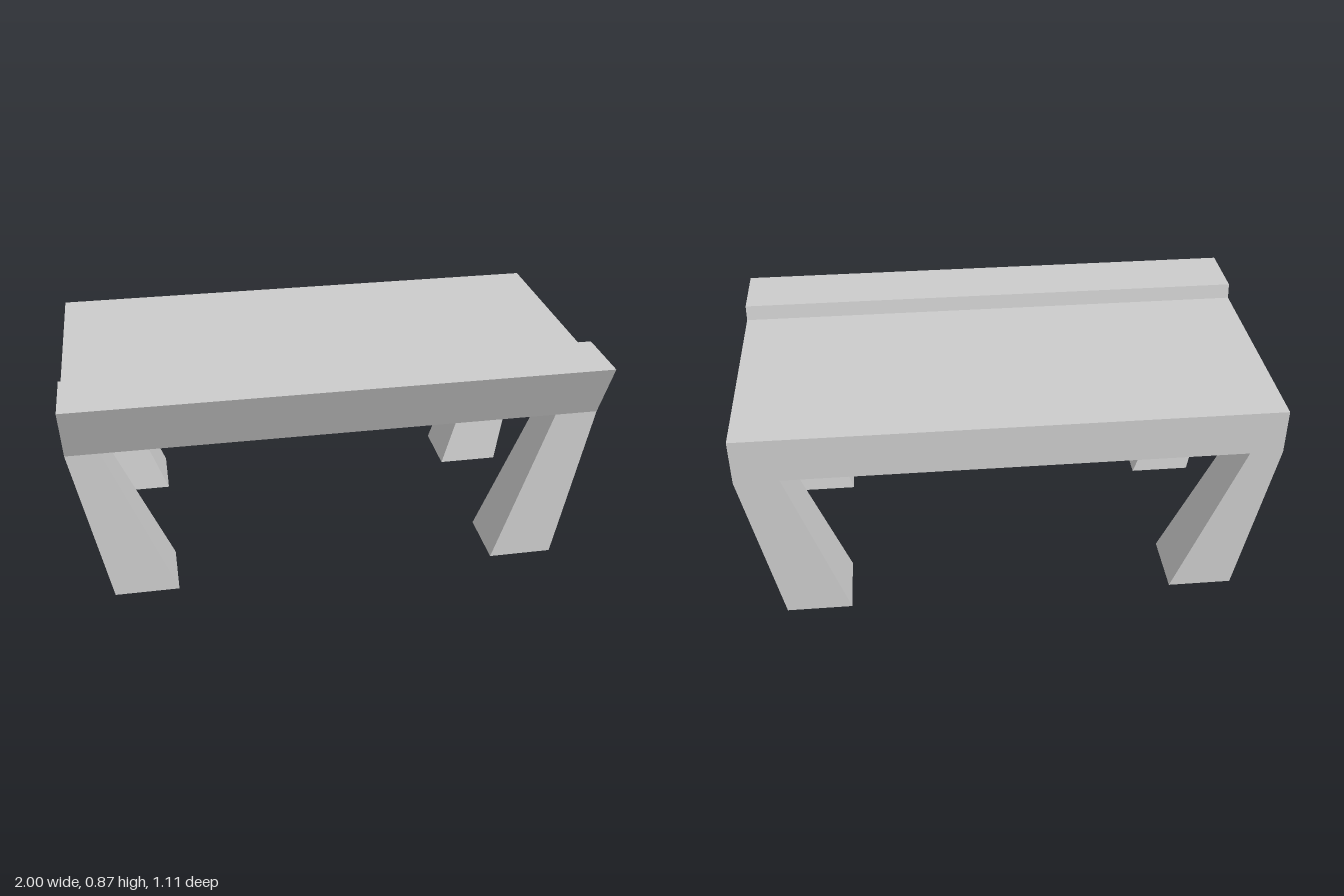
import * as THREE from 'three';

const material = new THREE.MeshStandardMaterial({ color: 0xcccccc, flatShading: true });
const LEG_TOP = 0.633;

// Tapered leg: each range is [min, max] at the foot and at the top.
function makeLeg(name, foot, top) {
  const geometry = new THREE.BoxGeometry(1, 1, 1);
  const p = geometry.attributes.position;
  for (let i = 0; i < p.count; i++) {
    const up = p.getY(i) > 0;
    const { x, z } = up ? top : foot;
    p.setXYZ(i, x[p.getX(i) > 0 ? 1 : 0], up ? LEG_TOP : 0, z[p.getZ(i) > 0 ? 1 : 0]);
  }
  geometry.computeVertexNormals();
  const leg = new THREE.Mesh(geometry, material);
  leg.name = name;
  return leg;
}

// Slab with a slanted front edge and raised lip, as a side profile of [z, y].
function makeTableTop() {
  const profile = [
    [-0.557, LEG_TOP], [0.441, LEG_TOP], [0.557, 0.867],
    [0.31, 0.867], [0.3, 0.809], [-0.557, 0.809],
  ];
  const shape = new THREE.Shape(profile.map(([z, y]) => new THREE.Vector2(-z, y)));
  const geometry = new THREE.ExtrudeGeometry(shape, { depth: 2, bevelEnabled: false });
  geometry.translate(0, 0, -1).rotateY(Math.PI / 2);
  const top = new THREE.Mesh(geometry, material);
  top.name = 'tableTop';
  return top;
}

export function createModel() {
  const model = new THREE.Group();
  model.name = 'table';
  model.add(makeTableTop());

  // Splayed legs; the two sides differ slightly in width where they meet the top.
  const sides = [
    { name: 'Left', foot: [0.625, 0.873], top: [0.836, 1] },
    { name: 'Right', foot: [-0.873, -0.628], top: [-1, -0.876] },
  ];
  const ends = [
    { name: 'front', foot: [0.193, 0.441], top: [0.282, 0.441] },
    { name: 'back', foot: [-0.557, -0.308], top: [-0.557, -0.382] },
  ];
  for (const s of sides) {
    for (const e of ends) {
      model.add(makeLeg(`${e.name}${s.name}Leg`, { x: s.foot, z: e.foot }, { x: s.top, z: e.top }));
    }
  }
  return model;
}
